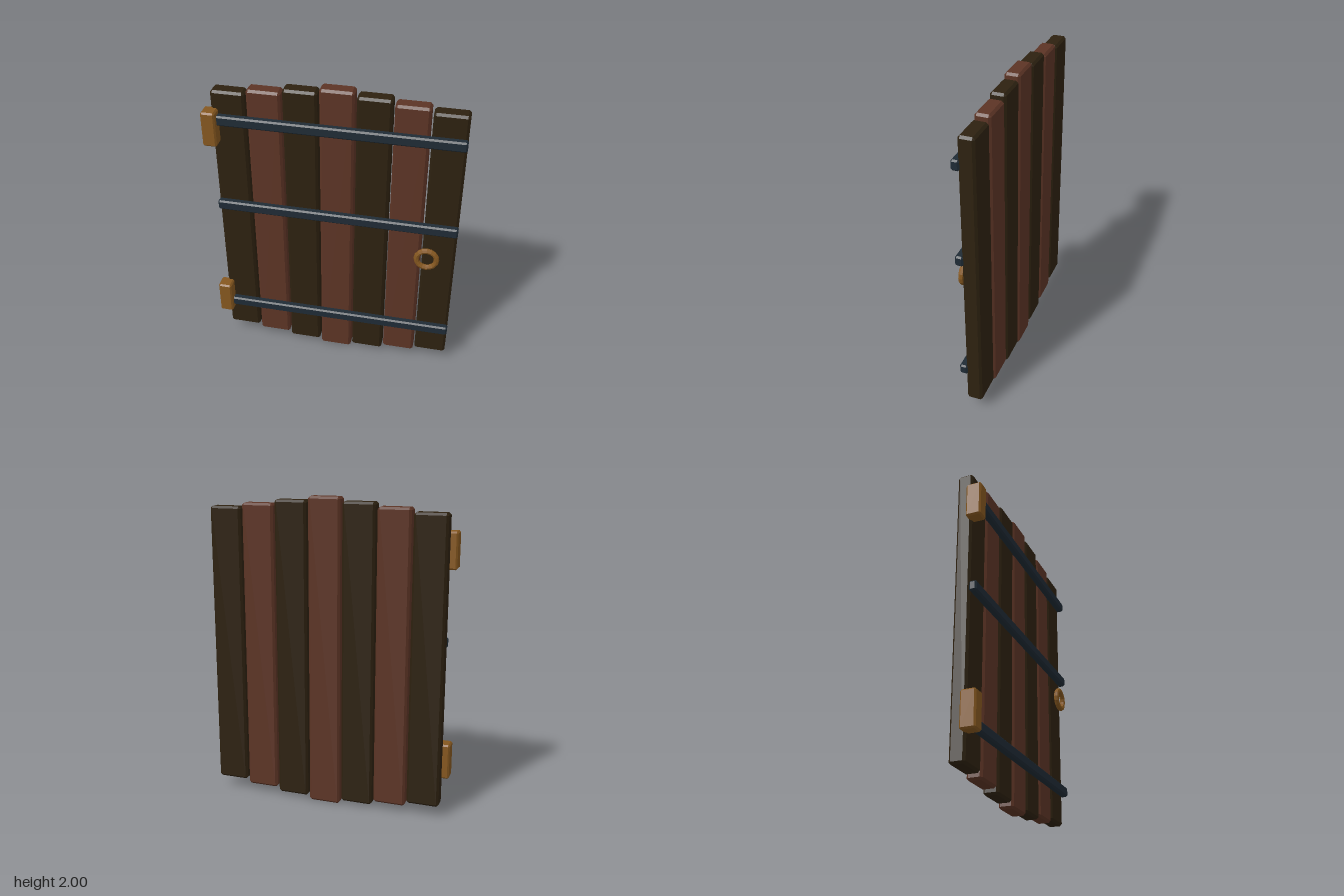
import * as THREE from 'three';
import { ConvexGeometry } from 'three/addons/geometries/ConvexGeometry.js';

const material = (name, color) => {
  const m = new THREE.MeshStandardMaterial({ color, flatShading: true });
  m.name = name;
  return m;
};

// Box with every edge and corner cut by a flat chamfer c
function chamferBox(w, h, d, c) {
  const points = [];
  for (const sx of [-1, 1]) for (const sy of [-1, 1]) for (const sz of [-1, 1]) {
    const x = w / 2, y = h / 2, z = d / 2;
    points.push(
      new THREE.Vector3(sx * x, sy * (y - c), sz * (z - c)),
      new THREE.Vector3(sx * (x - c), sy * y, sz * (z - c)),
      new THREE.Vector3(sx * (x - c), sy * (y - c), sz * z));
  }
  return new ConvexGeometry(points);
}

export function createModel() {
  const model = new THREE.Group();
  model.name = 'plankDoor';
  const darkWood = material('darkWood', 0x2d2110);
  const redWood = material('redWood', 0x5c3425);
  const iron = material('iron', 0x1f2b35);
  const brass = material('brass', 0x85571f);

  function add(name, geometry, mat, x, y, z) {
    const mesh = new THREE.Mesh(geometry, mat);
    mesh.name = name;
    mesh.position.set(x, y, z);
    model.add(mesh);
  }

  // Seven planks, growing longer toward the middle
  for (let i = -3; i <= 3; i++) {
    const step = Math.abs(i);
    const bottom = 0.0265 * step, top = 2 - 0.0255 * step;
    add('plank' + (i + 4), chamferBox(0.208, top - bottom, 0.098, 0.014),
      i % 2 ? darkWood : redWood, 0.02 + i * 0.2205, (top + bottom) / 2, -0.0385);
  }

  // Three iron bands across the front
  for (const y of [0.311, 1.131, 1.746]) {
    add('ironBand', chamferBox(1.534, 0.066, 0.05, 0.01), iron, 0.022, y, 0.028);
  }

  // Hinge blocks on the right edge
  for (const y of [0.362, 1.698]) {
    add('hinge', chamferBox(0.088, 0.228, 0.097, 0.01), brass, -0.746, y, 0.039);
  }

  // Ring handle
  add('ringHandle', new THREE.TorusGeometry(0.064, 0.0175, 8, 16), brass, 0.612, 0.928, 0.07);

  return model;
}
